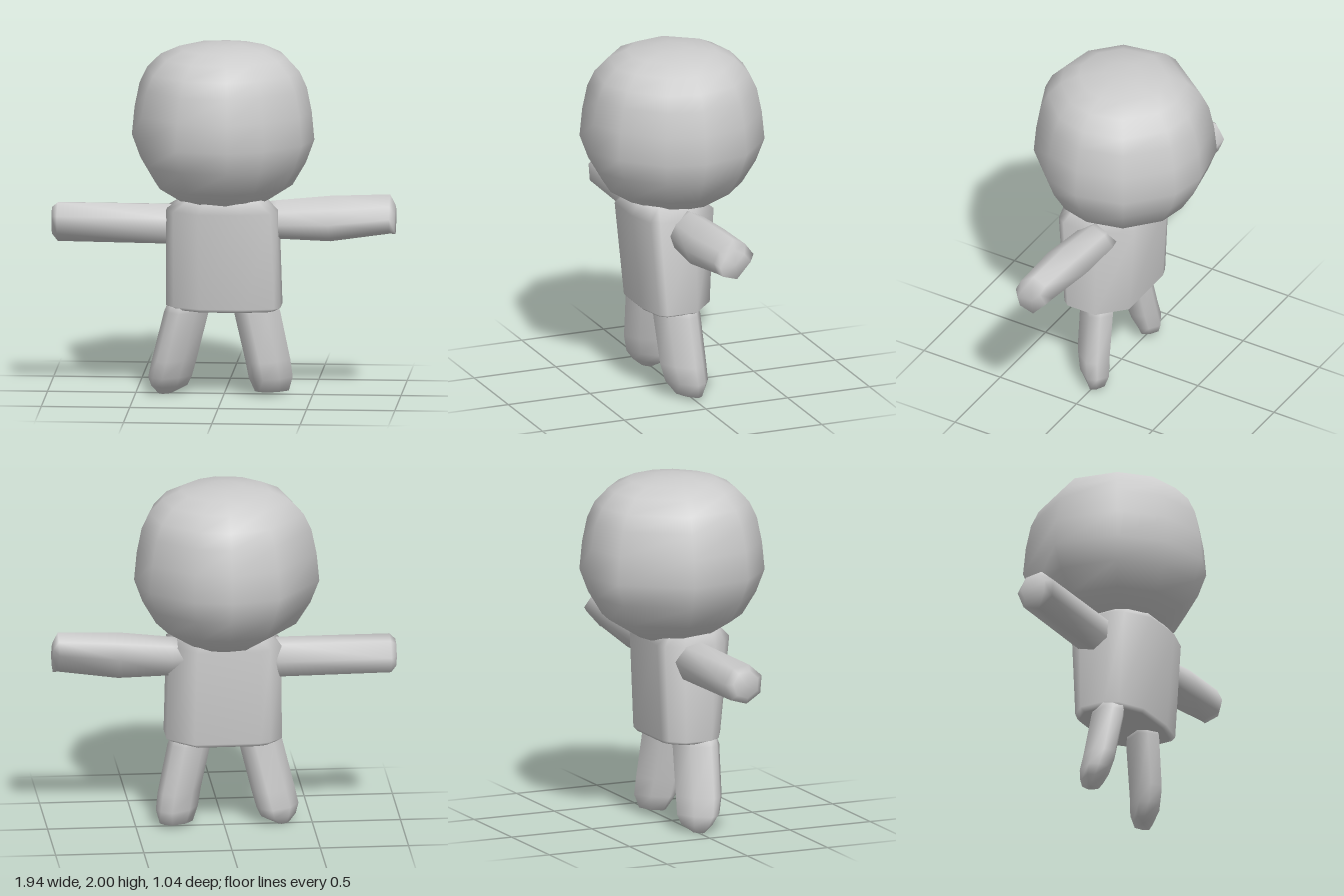
import * as THREE from 'three';

// Smooth closed loft. Rings run up the axis: [position, centreA, centreB, radiusA, radiusB].
// Along 'y' the section plane is (z, x); along 'x' it is (y, z).
function loft(axis, outline, rings) {
  const place = (n, a, b) => (axis === 'y' ? [b, n, a] : [n, a, b]);
  const pos = [], idx = [], k = outline.length;
  for (const [n, ca, cb, ra, rb] of rings)
    for (const [a, b] of outline) pos.push(...place(n, ca + a * ra, cb + b * rb));
  const first = rings[0], last = rings[rings.length - 1], s = rings.length * k;
  pos.push(...place(first[0], first[1], first[2]), ...place(last[0], last[1], last[2]));
  for (let j = 0; j < k; j++) {
    const m = (j + 1) % k;
    for (let i = 0; i < rings.length - 1; i++) {
      const p = i * k, q = p + k;
      idx.push(p + j, p + m, q + m, p + j, q + m, q + j);
    }
    idx.push(s, m, j, s + 1, s - k + j, s - k + m);
  }
  const g = new THREE.BufferGeometry();
  g.setAttribute('position', new THREE.Float32BufferAttribute(pos, 3));
  g.setIndex(idx);
  g.computeVertexNormals();
  return g;
}

const polygon = (sides, turn) => Array.from({ length: sides }, (_, i) => {
  const t = turn + (i / sides) * Math.PI * 2;
  return [Math.cos(t), Math.sin(t)];
});

export function createModel() {
  const group = new THREE.Group();
  const grey = new THREE.MeshStandardMaterial({ color: 0xcccccc });
  grey.name = 'light grey';
  const add = (name, geometry) => {
    const mesh = new THREE.Mesh(geometry, grey);
    mesh.name = name;
    group.add(mesh);
  };

  // Faceted ball with a flattened crown: [height, radius]
  const headOutline = [[1, 0.1], [0.83, 0.49], [0.43, 0.88], [0, 0.99], [-0.53, 0.86], [-0.93, 0.41],
    [-1.01, 0], [-0.9, -0.53], [-0.21, -1.03], [0.5, -0.9], [0.9, -0.47]];
  add('head', loft('y', headOutline, [
    [1.04, 0.06], [1.08, 0.2], [1.2, 0.39], [1.33, 0.467], [1.46, 0.515], [1.62, 0.5],
    [1.76, 0.472], [1.85, 0.43], [1.93, 0.355], [1.98, 0.25], [2.0, 0.1],
  ].map(([y, r]) => [y, 0, 0, r, r])));

  // Body with a rounded front and unevenly cut corners
  const bodyOutline = [[1, -0.4], [1, 0.4], [0.8, 0.9], [0.6, 1], [-0.31, 1], [-1, 0.55],
    [-1, -0.6], [-0.9, -0.78], [-0.52, -1], [0.27, -1], [0.6, -0.86]];
  add('torso', loft('y', bodyOutline, [
    [0.5, 0.04, 0, 0.18, 0.29],
    [0.52, 0.042, 0.003, 0.198, 0.325],
    [1.07, 0.055, -0.005, 0.24, 0.315],
    [1.135, 0.07, 0, 0.17, 0.22],
  ]));

  // Arms stretched sideways with blunt bevelled ends
  const leftArmOutline = [[1.03, 0.03], [0.5, 0.75], [-0.1, 1.03], [-0.7, 0.85],
    [-1, -0.1], [0.1, -1.03], [0.7, -0.6]];
  add('leftArm', loft('x', leftArmOutline, [
    [0.22, 1.0, 0.01, 0.1, 0.11],
    [0.3, 1.0, 0.01, 0.11, 0.125],
    [0.6, 1.01, 0.02, 0.13, 0.14],
    [0.94, 1.04, 0.015, 0.112, 0.118],
    [0.97, 1.01, 0.015, 0.085, 0.09],
  ]));
  add('rightArm', loft('x', polygon(7, 0.3), [
    [-0.973, 0.985, 0.005, 0.08, 0.08],
    [-0.94, 0.98, 0.005, 0.115, 0.12],
    [-0.3, 0.975, 0.005, 0.118, 0.122],
    [-0.22, 0.975, 0.005, 0.1, 0.1],
  ]));

  // Legs splayed outward, slimmer across one diagonal, ending in rounded feet
  const legOutline = [[1, -0.3], [0.55, 0.45], [-0.2, 1], [-0.65, 0.8],
    [-1, 0.3], [-0.5, -0.55], [0.3, -1], [0.7, -0.75]];
  add('leftLeg', loft('y', legOutline, [
    [0.02, 0.005, 0.27, 0.07, 0.095],
    [0.1, 0.02, 0.265, 0.115, 0.122],
    [0.2, 0.035, 0.25, 0.125, 0.125],
    [0.48, 0.05, 0.19, 0.128, 0.128],
    [0.54, 0.05, 0.18, 0.11, 0.11],
  ]));
  add('rightLeg', loft('y', legOutline, [
    [0, 0.01, -0.335, 0.03, 0.035],
    [0.045, 0.01, -0.31, 0.085, 0.1],
    [0.1, 0.02, -0.305, 0.115, 0.122],
    [0.2, 0.035, -0.28, 0.125, 0.125],
    [0.48, 0.05, -0.21, 0.128, 0.125],
    [0.54, 0.05, -0.2, 0.11, 0.11],
  ]));

  return group;
}
